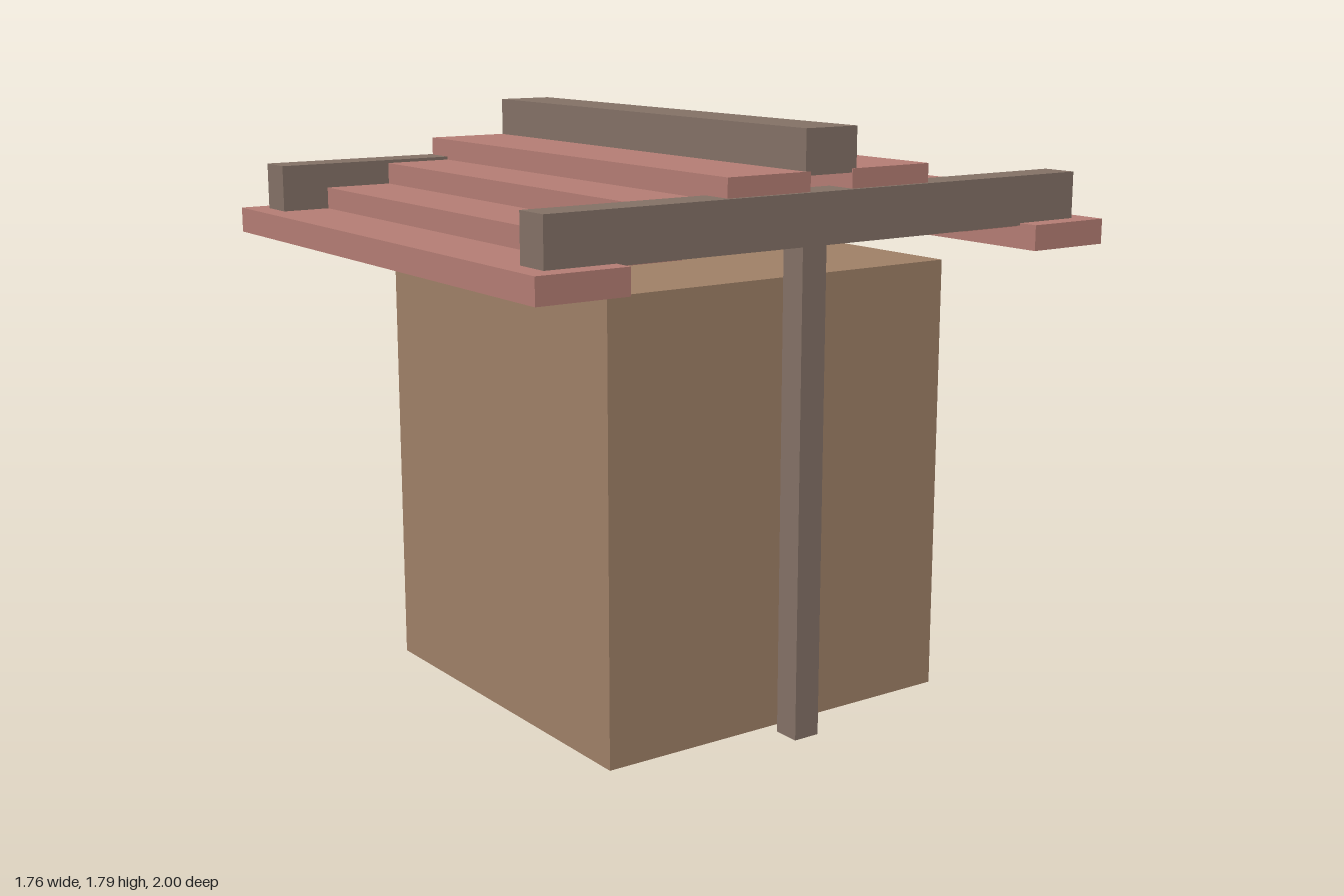
import * as THREE from 'three';

const material = (color) => new THREE.MeshStandardMaterial({ color, flatShading: true });

export function createModel() {
  const model = new THREE.Group();
  const wall = material(0x9e7f66);
  const timber = material(0x827065);
  const roof = material(0xb37c73);

  // Box given by its size, its bottom height and its centre in x and z
  const addBox = (name, mat, w, h, d, x, bottom, z) => {
    const mesh = new THREE.Mesh(new THREE.BoxGeometry(w, h, d), mat);
    mesh.name = name;
    mesh.position.set(x, bottom + h / 2, z);
    model.add(mesh);
  };

  // Hut body
  addBox('body', wall, 1.215, 1.35, 1.215, 0, 0, 0);

  // Posts carrying the side rails
  for (const [side, s] of [['left', 1], ['right', -1]]) {
    addBox(side + 'Post', timber, 0.085, 1.47, 0.085, s * 0.695, 0, 0);
    addBox(side + 'Rail', timber, 0.112, 0.147, 1.87, s * 0.763, 1.467, 0);
  }

  // Stepped roof planks, rising from the eaves to the ridge
  for (const [side, s] of [['front', 1], ['back', -1]]) {
    for (let i = 0; i < 4; i++) {
      const width = i === 0 ? 1.765 : 1.61;
      addBox(side + 'RoofPlank' + (i + 1), roof, width, 0.076, 0.282,
        0, 1.398 + i * 0.0652, s * (0.859 - i * 0.2145));
    }
  }

  // Ridge beam
  addBox('ridgeBeam', timber, 1.605, 0.128, 0.18, 0, 1.658, 0);

  return model;
}
